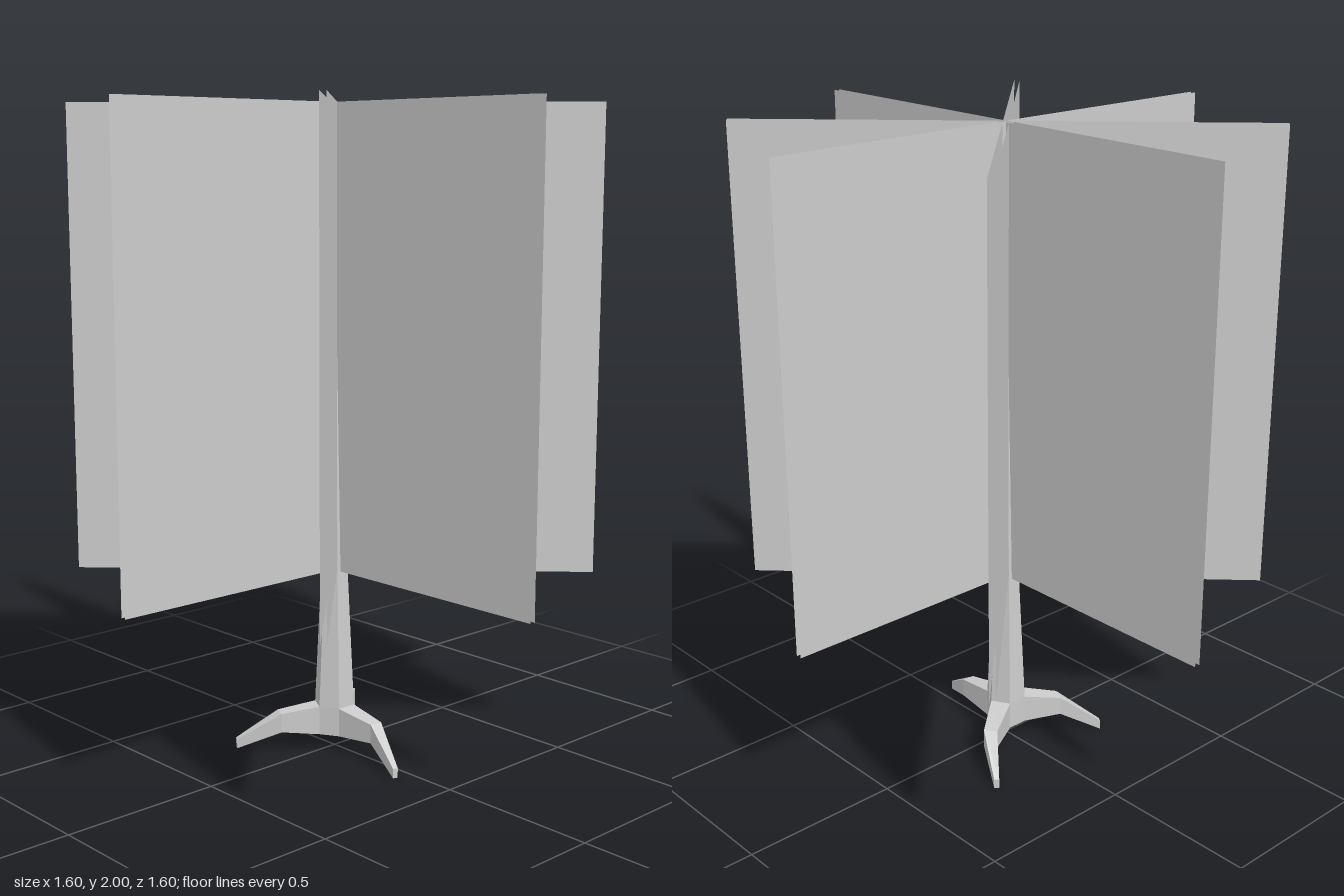
import * as THREE from 'three';

const flat = new THREE.MeshStandardMaterial({ color: 0xcccccc, flatShading: true, side: THREE.DoubleSide });

function add(parent, name, geometry) {
  const mesh = new THREE.Mesh(geometry, flat);
  mesh.name = name;
  parent.add(mesh);
  return mesh;
}

// Four-sided loft; each section is [ax, az, bx, bz, bottomY, topY]
function loft(sections) {
  const rings = sections.map(([ax, az, bx, bz, low, high]) => [
    [ax, low, az], [bx, low, bz], [bx, high, bz], [ax, high, az],
  ]);
  const out = [];
  const quad = (a, b, c, d) => out.push(...a, ...b, ...c, ...a, ...c, ...d);
  for (let i = 0; i < rings.length - 1; i++) {
    for (let j = 0; j < 4; j++) {
      const k = (j + 1) % 4;
      quad(rings[i][j], rings[i + 1][j], rings[i + 1][k], rings[i][k]);
    }
  }
  const end = rings[rings.length - 1];
  quad(end[0], end[3], end[2], end[1]);
  const geometry = new THREE.BufferGeometry();
  geometry.setAttribute('position', new THREE.Float32BufferAttribute(out, 3));
  geometry.computeVertexNormals();
  return geometry;
}

export function createModel() {
  const model = new THREE.Group();
  model.name = 'tree';

  // Tapered six-sided trunk with its base hub
  const profile = [[0, 0.05], [0.064, 0.05], [0.064, 0.14], [0.043, 0.575], [0.018, 1.53], [0, 1.53]];
  add(model, 'trunk', new THREE.LatheGeometry(profile.map(([r, y]) => new THREE.Vector2(r, y)), 6));

  // Three bent roots: plan corners at the trunk, the knee and the tip
  const roots = [
    [[0.055, -0.032, 0.055, 0.032], [0.19, -0.02, 0.185, 0.02], [0.33, 0.047, 0.325, 0.062]],
    [[0, 0.064, -0.055, 0.032], [-0.073, 0.158, -0.115, 0.137], [-0.184, 0.248, -0.2, 0.239]],
    [[-0.055, -0.032, 0, -0.064], [-0.128, -0.154, -0.094, -0.18], [-0.231, -0.239, -0.222, -0.252]],
  ];
  const heights = [[0.05, 0.14], [0.06, 0.12], [0, 0.03]];
  const rootGroup = new THREE.Group();
  rootGroup.name = 'roots';
  model.add(rootGroup);
  roots.forEach((root, i) => {
    add(rootGroup, `root${i + 1}`, loft(root.map((plan, j) => [...plan, ...heights[j]])));
  });

  // Four crossed foliage cards, each a pair of closely spaced sheets
  const foliage = new THREE.Group();
  foliage.name = 'foliage';
  model.add(foliage);
  const bottom = 0.575, top = 2, gap = 0.009;
  for (let i = 0; i < 4; i++) {
    const card = new THREE.Group();
    card.name = `foliageCard${i + 1}`;
    card.rotation.y = (i * Math.PI) / 4;
    foliage.add(card);
    for (const side of [1, -1]) {
      const sheet = add(card, side > 0 ? 'frontSheet' : 'backSheet', new THREE.PlaneGeometry(1.6, top - bottom));
      sheet.position.set(0, (top + bottom) / 2, side * gap);
      if (side < 0) sheet.rotation.y = Math.PI;
    }
  }
  return model;
}
